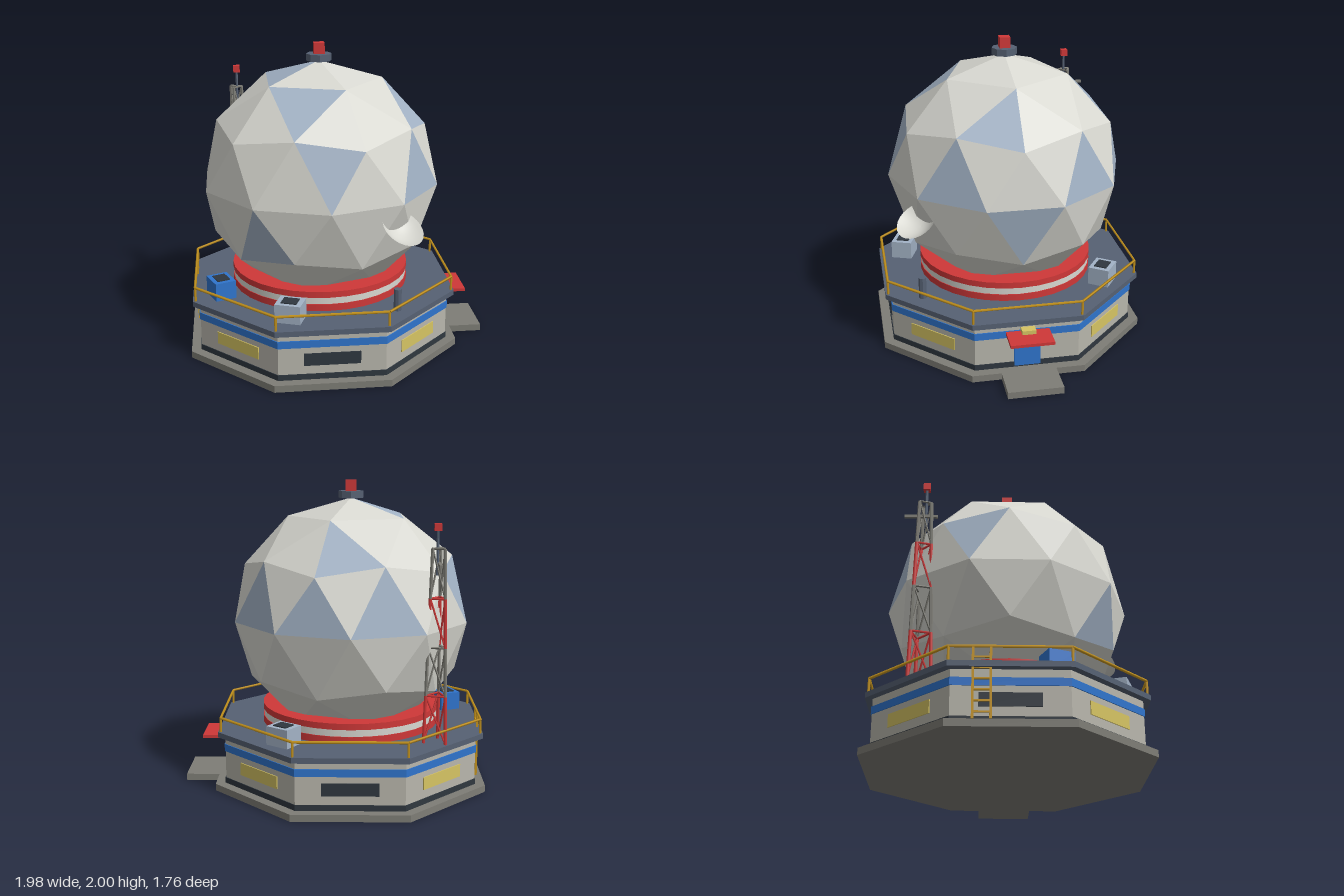
import * as THREE from 'three';

const material = (name, color, extra = {}) => {
  const m = new THREE.MeshStandardMaterial({ color, ...extra });
  m.name = name;
  return m;
};
const RAD = Math.PI / 180;
const CX = -0.11; // axis of the building and dome

export function createModel() {
  const model = new THREE.Group();
  model.name = 'radarStation';
  const flat = { flatShading: true };
  const shell = material('shellWhite', 0xd8d8d1, { side: THREE.DoubleSide });
  const panel = material('panelBlueGrey', 0xa3b3c6);
  const concrete = material('concrete', 0x7e7d76, flat);
  const wall = material('wallGrey', 0xb8b6ac, flat);
  const slate = material('slate', 0x566173, flat);
  const red = material('signalRed', 0xcf3838);
  const blue = material('trimBlue', 0x2f74cc, flat);
  const amber = material('railAmber', 0xc9971f);
  const lamp = material('windowYellow', 0xd6c463);
  const dark = material('charcoal', 0x2f373f, flat);

  const add = (parent, name, geo, mat, x = 0, y = 0, z = 0) => {
    const mesh = new THREE.Mesh(geo, mat);
    mesh.name = name;
    mesh.position.set(x, y, z);
    parent.add(mesh);
    return mesh;
  };
  const box = (parent, name, mat, w, h, d, x, y, z) =>
    add(parent, name, new THREE.BoxGeometry(w, h, d), mat, x, y, z);
  const group = (name, parent, x = 0, y = 0, z = 0) => {
    const g = new THREE.Group();
    g.name = name;
    g.position.set(x, y, z);
    parent.add(g);
    return g;
  };
  // Straight bar between two points
  const bar = (parent, name, mat, a, b, r, sides = 4) => {
    const dir = b.clone().sub(a);
    const mesh = add(parent, name, new THREE.CylinderGeometry(r, r, dir.length(), sides), mat);
    mesh.position.copy(a).addScaledVector(dir, 0.5);
    mesh.quaternion.setFromUnitVectors(new THREE.Vector3(0, 1, 0), dir.normalize());
    return mesh;
  };
  // Azimuth runs from +x towards +z
  const polar = (r, deg, y) =>
    new THREE.Vector3(r * Math.cos(deg * RAD), y, r * Math.sin(deg * RAD));

  const station = group('station', model, CX);

  // Octagonal tiers: apothem, bottom, top
  const OCT = 1 / Math.cos(Math.PI / 8);
  const tier = (name, mat, apothem, y0, y1) => {
    const r = apothem * OCT;
    const geo = new THREE.CylinderGeometry(r, r, y1 - y0, 8).rotateY(Math.PI / 8);
    add(station, name, geo, mat, 0, (y0 + y1) / 2, 0);
  };
  tier('foundationSlab', concrete, 0.88, 0, 0.045);
  tier('walls', wall, 0.813, 0.045, 0.36);
  tier('plinthBand', dark, 0.818, 0.045, 0.082);
  tier('blueBand', blue, 0.819, 0.262, 0.31);
  tier('deck', slate, 0.858, 0.36, 0.395);

  // Windows on seven faces, door face excluded
  for (let i = 1; i < 8; i++) {
    const holder = group('windowFace', station);
    holder.rotation.y = -i * 45 * RAD;
    box(holder, 'window', i % 2 ? lamp : dark, 0.008, 0.082, 0.355, 0.815, 0.18, 0);
  }

  // Entrance on the +x side
  const entrance = group('entrance', model);
  box(entrance, 'porchSlab', concrete, 0.25, 0.045, 0.355, 0.865, 0.0225, 0);
  box(entrance, 'door', blue, 0.012, 0.215, 0.17, 0.706, 0.162, 0);
  box(entrance, 'canopy', red, 0.18, 0.02, 0.28, 0.79, 0.296, 0);
  box(entrance, 'doorLamp', lamp, 0.058, 0.026, 0.09, 0.737, 0.319, 0);

  // Deck railing
  const railing = group('railing', station);
  for (let i = 0; i < 8; i++) {
    const r = 0.84 * OCT, a = 22.5 + i * 45;
    bar(railing, 'handrail', amber, polar(r, a, 0.488), polar(r, a + 45, 0.488), 0.009);
    bar(railing, 'railPost', amber, polar(r, a, 0.39), polar(r, a, 0.488), 0.008);
  }

  // Access ladder on the -x side
  const ladder = group('ladder', station, -0.838, 0, -0.16);
  for (const s of [-1, 1]) box(ladder, 'ladderRail', amber, 0.014, 0.43, 0.014, 0, 0.275, s * 0.05);
  for (let i = 0; i < 6; i++) box(ladder, 'rung', amber, 0.01, 0.01, 0.1, 0, 0.1 + i * 0.065, 0);

  // Striped drum under the dome
  const ring = (name, mat, r, y0, y1) =>
    add(station, name, new THREE.CylinderGeometry(r, r, y1 - y0, 32), mat, 0, (y0 + y1) / 2, 0);
  ring('drumLower', red, 0.59, 0.395, 0.44);
  ring('drumStripe', shell, 0.585, 0.44, 0.485);
  ring('drumUpper', red, 0.59, 0.485, 0.525);

  // Faceted dome: rings of a subdivided icosahedron, [radius, height] as factors
  const R = 0.785;
  const RINGS = {
    P: [0, 1], A: [0.5257, 0.8507], U: [0.8944, 0.4472], M: [0.8507, 0.5257], E: [1, 0],
    N: [0.8507, -0.5257], L: [0.8944, -0.4472], B: [0.5257, -0.8507], Q: [0, -1],
  };
  const sector = [
    'P0 A0 A72', 'A0 U0 M36', 'A0 M36 A72', 'A72 M36 U72',
    'U0 M36 E18', 'U72 M36 E54', 'M36 E18 E54', 'L36 E18 E54',
    'U0 E-18 E18', 'N0 E-18 E18', 'L-36 N0 E-18', 'L36 N0 E18',
    'L-36 N0 B-36', 'L36 N0 B36', 'B-36 N0 B36', 'Q0 B-36 B36',
  ];
  // Tinted panels in each of the five sectors
  const tinted = [[1, 6, 9], [2, 4], [0, 5, 10], [3, 6], [6, 8]];
  const white = [], tint = [];
  for (let k = 0; k < 5; k++) {
    sector.forEach((face, i) => {
      const [a, b, c] = face.split(' ').map((s) => {
        const [r, y] = RINGS[s[0]];
        return polar(r * R, Number(s.slice(1)) + 72 * k, y * R);
      });
      const n = b.clone().sub(a).cross(c.clone().sub(a));
      const tri = n.dot(a.clone().add(b).add(c)) > 0 ? [a, b, c] : [a, c, b];
      (tinted[k].includes(i) ? tint : white).push(...tri);
    });
  }
  const facets = (points) => {
    const g = new THREE.BufferGeometry().setFromPoints(points);
    g.computeVertexNormals();
    return g;
  };
  add(station, 'domePanels', facets(white), shell, 0, 1.1, 0);
  add(station, 'domeTintedPanels', facets(tint), panel, 0, 1.1, 0);

  // Beacon on the crown
  add(station, 'beaconBase', new THREE.CylinderGeometry(0.083, 0.083, 0.045, 8), slate, 0, 1.907, 0);
  box(station, 'beaconLight', red, 0.07, 0.07, 0.07, 0, 1.965, 0);

  // Equipment cabinets around the deck, with dark vents on top
  for (const [az, mat] of [[110, panel], [158, blue], [305, panel]]) {
    const p = polar(0.725, az, 0.395);
    const unit = group('cabinet', station, p.x, p.y, p.z);
    unit.rotation.y = -az * RAD;
    box(unit, 'cabinetBody', mat, 0.14, 0.12, 0.165, 0, 0.06, 0);
    box(unit, 'cabinetVent', dark, 0.085, 0.008, 0.1, 0, 0.122, 0);
  }

  // Pedestal and dish on the front corner
  const foot = polar(0.757, 55, 0.467);
  add(station, 'pedestal', new THREE.CylinderGeometry(0.025, 0.025, 0.145, 8), slate, foot.x, foot.y, foot.z);
  const bowl = [];
  for (let i = 0; i <= 8; i++) {
    const r = 0.14 * i / 8;
    bowl.push(new THREE.Vector2(r, 0.065 * (i / 8) ** 2 - 0.065));
  }
  const dish = add(station, 'dish', new THREE.LatheGeometry(bowl, 24), shell, 0.455, 0.955, 0.645);
  dish.quaternion.setFromUnitVectors(new THREE.Vector3(0, 1, 0),
    polar(Math.cos(55 * RAD), 54, Math.sin(55 * RAD)));

  // Lattice mast in alternating red and grey bays
  const mast = group('mast', station, -0.535, 0, -0.535);
  const y0 = 0.395, bay = 0.305;
  const leg = (i, level) => polar(0.08 - 0.009 * level, 225 + i * 120, y0 + bay * level);
  for (let s = 0; s < 4; s++) {
    const mat = s % 2 ? concrete : red;
    for (let i = 0; i < 3; i++) {
      bar(mast, 'mastLeg', mat, leg(i, s), leg(i, s + 1), 0.011, 6);
      bar(mast, 'mastBrace', mat, leg(i, s), leg(i + 1, s + 1), 0.006);
      bar(mast, 'mastRing', mat, leg(i, s + 1), leg(i + 1, s + 1), 0.007);
    }
  }
  box(mast, 'crossArm', concrete, 0.018, 0.018, 0.21, 0, 1.52, -0.02);
  bar(mast, 'mastPole', slate, new THREE.Vector3(0.01, 1.45, 0.01), new THREE.Vector3(0.01, 1.73, 0.01), 0.009, 6);
  box(mast, 'mastLight', red, 0.045, 0.045, 0.045, 0.01, 1.742, 0.01);

  return model;
}
